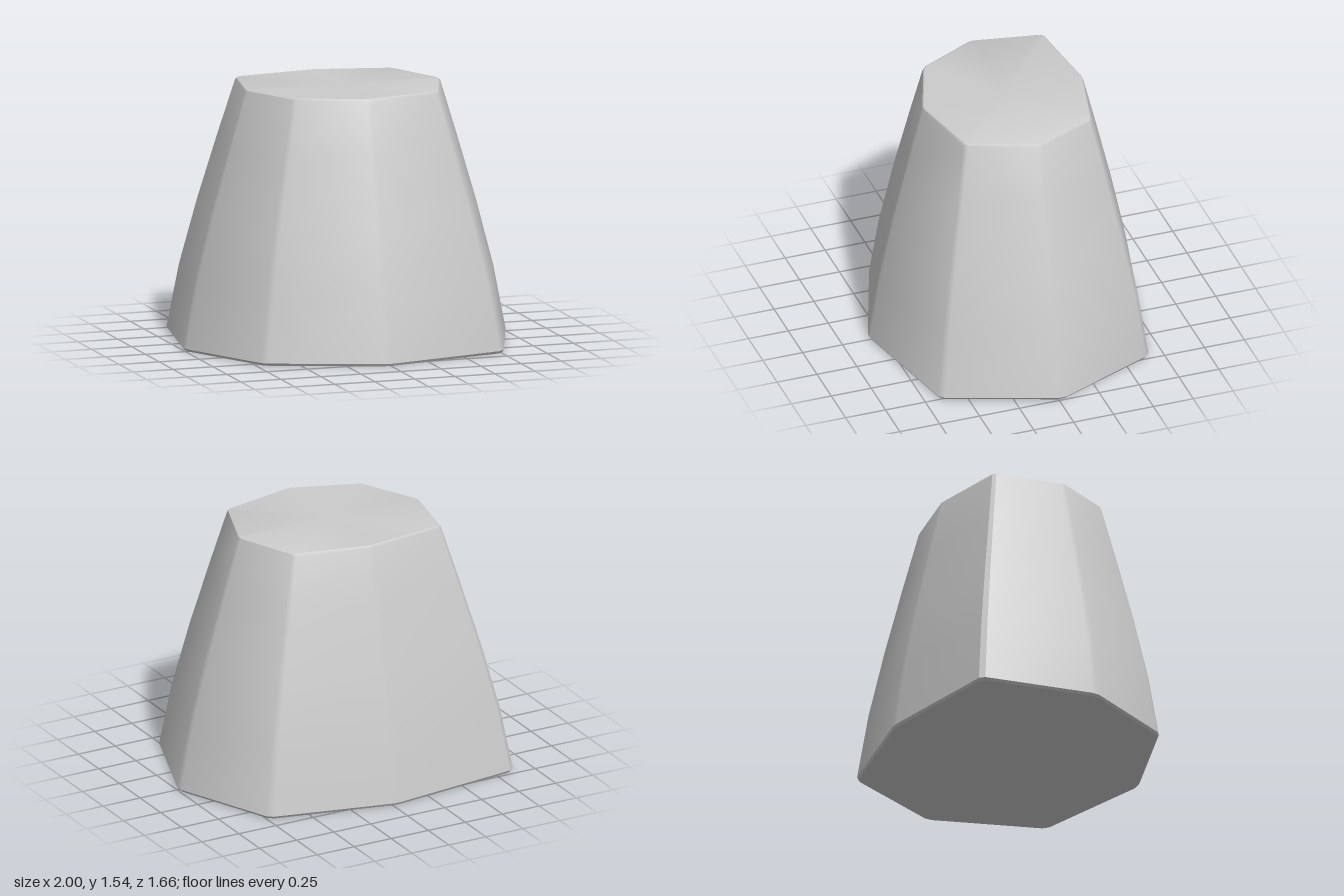
import * as THREE from 'three';
import { toCreasedNormals } from 'three/addons/utils/BufferGeometryUtils.js';

// Irregular eight-cornered footprint (x, z), clockwise seen from above
const CORNERS = [
  [-1, -0.02], [-0.865, -0.725], [-0.02, -0.83], [0.735, -0.65],
  [1, -0.02], [0.755, 0.655], [-0.02, 0.83], [-0.705, 0.575],
].map(([x, z]) => new THREE.Vector2(x, z).multiplyScalar(1.006));

// Height and footprint scale of each level, with small bevels at both rims
const LEVELS = [
  [0, 0.988], [0.015, 1], [0.4, 0.927], [0.8, 0.823],
  [1.2, 0.706], [1.525, 0.607], [1.54, 0.6], [1.545, 0.59],
];
const HEIGHT = 1.545;

// Cut every corner into a narrow bevel
function bevelledOutline(corners, cut) {
  const n = corners.length;
  return corners.flatMap((p, i) => [corners[(i + n - 1) % n], corners[(i + 1) % n]].map((q) =>
    p.clone().add(q.clone().sub(p).setLength(cut))));
}

// Stack scaled outlines into a closed, tapering solid
function loft(outline, levels) {
  const n = outline.length;
  const positions = [];
  const index = [];
  for (const [y, s] of levels) {
    const drift = -0.01 * y / HEIGHT;
    for (const p of outline) positions.push(p.x * s + drift, y, p.y * s + drift);
  }
  const bottom = levels.length * n;
  const top = bottom + 1;
  positions.push(0, 0, 0, 0, HEIGHT, 0);
  const last = (levels.length - 1) * n;
  for (let j = 0; j < n; j++) {
    const k = (j + 1) % n;
    for (let r = 0; r < last; r += n) {
      index.push(r + k, r + j, r + n + j, r + k, r + n + j, r + n + k);
    }
    index.push(bottom, j, k, top, last + k, last + j);
  }
  const geometry = new THREE.BufferGeometry();
  geometry.setAttribute('position', new THREE.Float32BufferAttribute(positions, 3));
  geometry.setIndex(index);
  return toCreasedNormals(geometry, 0.5);
}

export function createModel() {
  const group = new THREE.Group();
  group.name = 'taperedRock';
  const block = new THREE.Mesh(
    loft(bevelledOutline(CORNERS, 0.025), LEVELS),
    new THREE.MeshStandardMaterial({ color: 0xcccccc }),
  );
  block.name = 'rockBody';
  group.add(block);
  return group;
}
